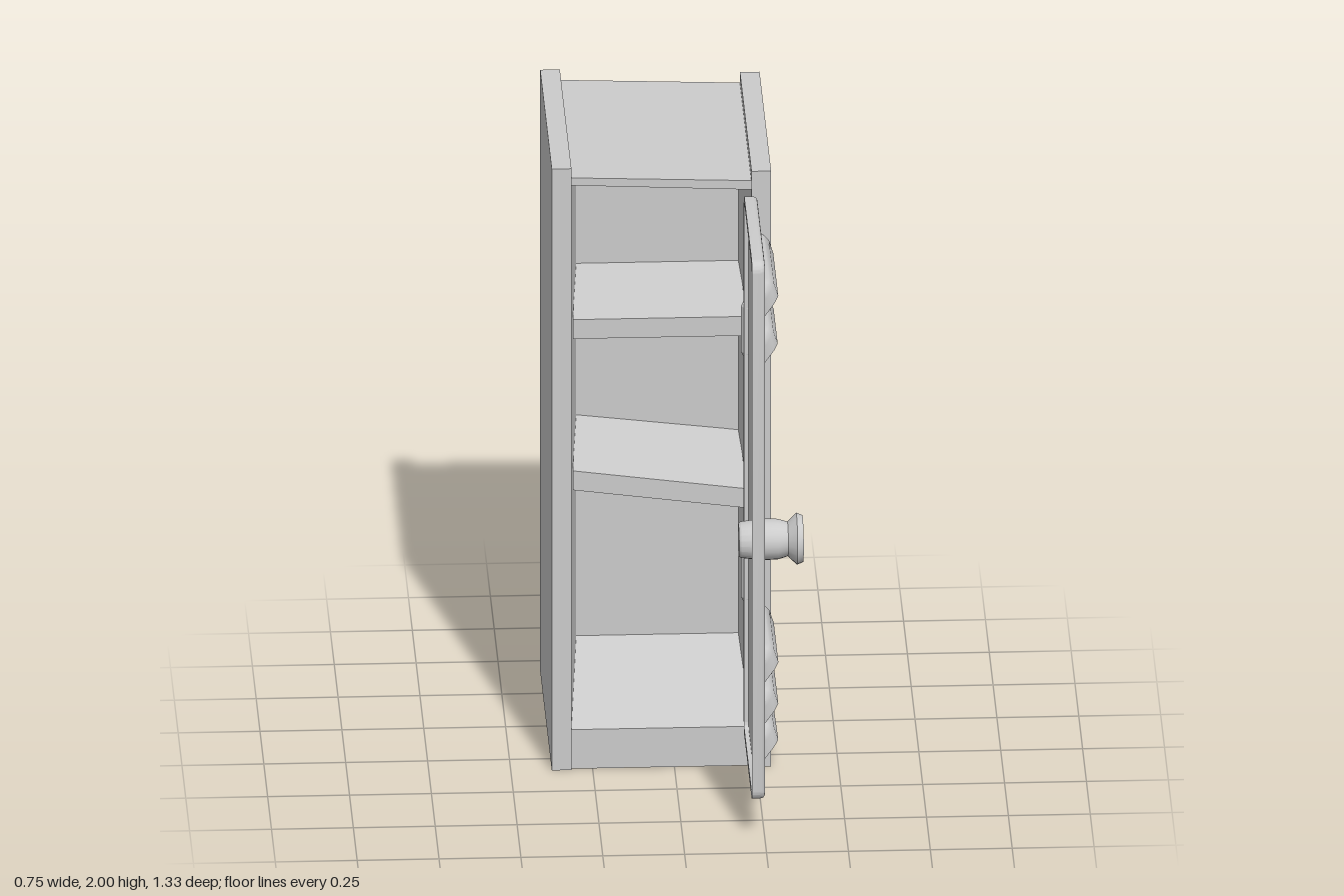
import * as THREE from 'three';
import { toCreasedNormals } from 'three/addons/utils/BufferGeometryUtils.js';

const solid = new THREE.MeshStandardMaterial({ color: 0xcccccc });
const sheetMat = new THREE.MeshStandardMaterial({ color: 0xcccccc, side: THREE.DoubleSide });

function add(parent, name, geo, mat = solid) {
  const mesh = new THREE.Mesh(geo, mat);
  mesh.name = name;
  parent.add(mesh);
  return mesh;
}

// Thin sheet metal: a list of four-cornered panels
function sheets(parent, name, quads) {
  const pos = [];
  for (const [a, b, c, d] of quads) pos.push(...a, ...b, ...c, ...a, ...c, ...d);
  const geo = new THREE.BufferGeometry();
  geo.setAttribute('position', new THREE.Float32BufferAttribute(pos, 3));
  geo.computeVertexNormals();
  return add(parent, name, geo, sheetMat);
}

function roundedRect(target, x0, y0, x1, y1, r) {
  target.moveTo(x0 + r, y0);
  target.lineTo(x1 - r, y0);
  target.absarc(x1 - r, y0 + r, r, -Math.PI / 2, 0);
  target.lineTo(x1, y1 - r);
  target.absarc(x1 - r, y1 - r, r, 0, Math.PI / 2);
  target.lineTo(x0 + r, y1);
  target.absarc(x0 + r, y1 - r, r, Math.PI / 2, Math.PI);
  target.lineTo(x0, y0 + r);
  target.absarc(x0 + r, y0 + r, r, Math.PI, Math.PI * 1.5);
  return target;
}

// Pressed vent hood: cross-sections along z that bulge from the door face
function louverGeometry(length, height) {
  const stations = [[0, 0, 0.55], [0.012, 0.3, 0.78], [0.03, 0.75, 0.95], [0.055, 1, 1]];
  const rings = [
    ...stations.map(([d, b, t]) => [-length / 2 + d, b, t]),
    ...stations.slice().reverse().map(([d, b, t]) => [length / 2 - d, b, t]),
  ];
  const pos = [], index = [], n = 6;
  for (const [z, b, t] of rings) {
    const top = height * t, lip = height * 0.42 * b;
    const mid = (f) => lip + (top - lip) * f;
    pos.push(0, top, z, 0.018 * b, mid(0.93), z, 0.033 * b, mid(0.65), z);
    pos.push(0.046 * b, lip, z, 0.036 * b, lip - 0.008 * b, z, 0, lip, z);
  }
  for (let i = 0; i < rings.length - 1; i++) {
    for (let j = 0; j < n - 1; j++) {
      const a = i * n + j, c = a + n;
      index.push(a, c, a + 1, c, c + 1, a + 1);
    }
  }
  const geo = new THREE.BufferGeometry();
  geo.setAttribute('position', new THREE.Float32BufferAttribute(pos, 3));
  geo.setIndex(index);
  return toCreasedNormals(geo, 0.7);
}

export function createModel() {
  const root = new THREE.Group();
  root.name = 'locker';
  const zBack = -0.67, zFront = 0.09, zFace = 0.08, zInner = -0.35;
  const inL = -0.315, inR = 0.235, topL = 1.965, topR = 1.945;

  // Folded side panels: outer sheet, front strip, top strip and inner returns
  const sides = [
    ['rightSidePanel', -0.375, inL, 2, topL],
    ['leftSidePanel', 0.295, inR, 1.98, topR],
  ];
  for (const [name, xo, xi, h, lip] of sides) {
    sheets(root, name, [
      [[xo, 0, zBack], [xo, 0, zFront], [xo, h, zFront], [xo, h, zBack]],
      [[xo, 0, zFront], [xi, 0, zFront], [xi, h, zFront], [xo, h, zFront]],
      [[xo, h, zFront], [xi, h, zFront], [xi, h, zBack], [xo, h, zBack]],
      [[xi, h, zFront], [xi, lip, zFront], [xi, lip, zBack], [xi, h, zBack]],
      [[xi, 0, zFront], [xi, 0, zFace], [xi, lip, zFace], [xi, lip, zFront]],
    ]);
  }

  // Sloping roof and the front cross strips
  sheets(root, 'roof', [
    [[inL, topL, zFace], [inR, topR, zFace], [inR, topR, zBack], [inL, topL, zBack]],
  ]);
  sheets(root, 'frontStrips', [
    [[inL, 0, zFace], [inR, 0, zFace], [inR, 0.13, zFace], [inL, 0.13, zFace]],
    [[inL, 1.94, zFace], [inR, 1.915, zFace], [inR, topR, zFace], [inL, topL, zFace]],
  ]);

  // Tapered inner compartment, open at the front
  const front = [[inL, 0.13], [inR, 0.13], [inR, 1.915], [inL, 1.94]].map((p) => [...p, zFace]);
  const back = [[-0.28, 0.255], [0.215, 0.255], [0.215, 1.785], [-0.28, 1.81]].map((p) => [...p, zInner]);
  const walls = front.map((p, i) => [p, front[(i + 1) % 4], back[(i + 1) % 4], back[i]]);
  sheets(root, 'compartment', [...walls, back]);

  // Hollow wedge shelves whose top and bottom sheets pass through the back
  const shelves = [['upperShelf', 1.418, 0, 0], ['lowerShelf', 0.915, -0.07, -0.06]];
  for (const [name, y, dropFront, dropBack] of shelves) {
    const xl = -0.305, xr = 0.225, bl = -0.283, br = 0.218, zf = -0.02, zb = -0.385;
    const sheet = (s) => [
      [xl, y + s * 0.032, zf], [xr, y + s * 0.032 + dropFront, zf],
      [br, y + s * 0.08 + dropBack, zb], [bl, y + s * 0.08, zb],
    ];
    const t = sheet(1), b = sheet(-1);
    sheets(root, name, [t, b, [b[0], b[1], t[1], t[0]]]);
  }

  // Open door, swung out to face +x
  const door = new THREE.Group();
  door.name = 'door';
  root.add(door);
  const bevel = 0.012;
  const panel = roundedRect(new THREE.Shape(), -0.66 + bevel, 0.13 + bevel, -0.115 - bevel, 1.92 - bevel, 0.025);
  const panelGeo = new THREE.ExtrudeGeometry(panel, {
    depth: 0.002, bevelEnabled: true, bevelSize: bevel, bevelThickness: bevel, bevelSegments: 3, curveSegments: 5,
  });
  panelGeo.rotateY(Math.PI / 2).translate(0.236, 0, 0);
  add(door, 'doorPanel', toCreasedNormals(panelGeo, 0.6));

  // Raised rim around the inside of the door
  const rim = roundedRect(new THREE.Shape(), -0.66, 0.13, -0.115, 1.92, 0.035);
  rim.holes.push(roundedRect(new THREE.Path(), -0.64, 0.15, -0.135, 1.9, 0.02));
  const rimGeo = new THREE.ExtrudeGeometry(rim, { depth: 0.026, bevelEnabled: false, curveSegments: 5 });
  rimGeo.rotateY(Math.PI / 2).translate(0.21, 0, 0);
  add(door, 'doorRim', toCreasedNormals(rimGeo, 0.6));

  // Vents: centre z, bottom y, length, tilt
  const vents = [
    [0.39, 1.72, 0.44, 0], [0.385, 1.545, 0.37, 0],
    [0.41, 0.505, 0.41, 0], [0.39, 0.365, 0.44, 0], [0.392, 0.232, 0.44, -0.075],
  ];
  for (const [z, y, length, tilt] of vents) {
    const vent = add(door, 'vent', louverGeometry(length, 0.11), sheetMat);
    vent.position.set(0.249, y, z);
    vent.rotation.x = tilt;
  }

  // Turned knob passing through the door
  const profile = [
    [0, 0.175], [0.05, 0.175], [0.056, 0.182], [0.064, 0.25], [0.062, 0.295],
    [0.053, 0.325], [0.08, 0.352], [0.072, 0.371], [0, 0.371],
  ].map(([r, h]) => new THREE.Vector2(r, h));
  const knobGeo = new THREE.LatheGeometry(profile, 20);
  knobGeo.rotateZ(-Math.PI / 2);
  add(door, 'knob', toCreasedNormals(knobGeo, 0.6)).position.set(0, 0.945, 0.525);

  // Faceted hinges with tapered ends
  const hingeProfile = [[0, -0.093], [0.026, -0.093], [0.035, -0.075], [0.035, 0.075], [0.026, 0.093], [0, 0.093]]
    .map(([r, h]) => new THREE.Vector2(r, h));
  for (const y of [1.467, 0.652]) {
    const geo = toCreasedNormals(new THREE.LatheGeometry(hingeProfile, 6).rotateY(0.5), 0.3);
    const hinge = add(root, 'hinge', geo);
    hinge.scale.z = 0.75;
    hinge.position.set(0.236, y, 0.113);
  }
  return root;
}
